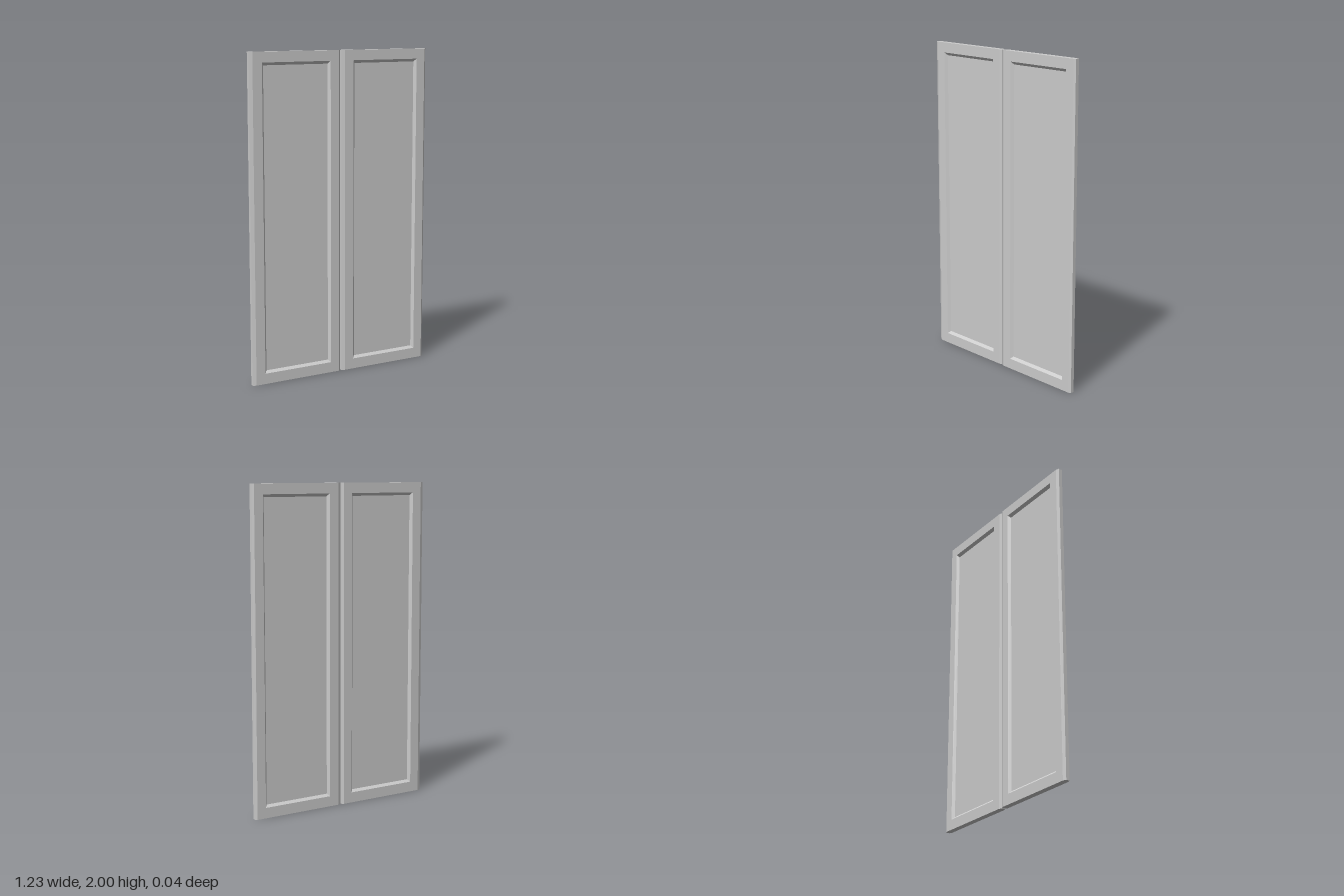
import * as THREE from 'three';

const W = 0.611, H = 2, T = 0.0195; // door width, height, half thickness
const DEPTH = 0.016;                // recess depth on each face

// Rectangular loop of four corners, counter-clockwise from the front
const ring = (x0, x1, y0, y1, z) => [[x0, y0, z], [x1, y0, z], [x1, y1, z], [x0, y1, z]];

// Door lofted through rectangles: recessed panel, sloped moulding, frame, chamfered stiles
function doorGeometry() {
  const half = [
    [0.096, 0.527, 0.08, 1.92, T - DEPTH], // recessed panel
    [0.081, 0.541, 0.065, 1.937, T],       // moulding edge
    [0.02, W - 0.012, 0, H, T],            // frame face
    [0, W, 0, H, T - 0.008],               // chamfered outer edge
  ];
  const back = half.map(([a, b, c, d, z]) => [a, b, c, d, -z]).reverse();
  const rings = [...half, ...back].map((r) => ring(...r));

  const pos = [];
  const quad = (a, b, c, d) => pos.push(...a, ...b, ...c, ...a, ...c, ...d);
  quad(...rings[0]);
  for (let i = 0; i < rings.length - 1; i++) {
    for (let j = 0; j < 4; j++) {
      const k = (j + 1) % 4;
      quad(rings[i][j], rings[i + 1][j], rings[i + 1][k], rings[i][k]);
    }
  }
  quad(...[...rings[rings.length - 1]].reverse());

  const geo = new THREE.BufferGeometry();
  geo.setAttribute('position', new THREE.Float32BufferAttribute(pos, 3));
  geo.computeVertexNormals();
  return geo;
}

export function createModel() {
  const group = new THREE.Group();
  group.name = 'doublePanelDoors';
  const material = new THREE.MeshStandardMaterial({ color: 0xcccccc, flatShading: true });
  const geo = doorGeometry();

  // Two identical doors, side by side with a slight offset in depth
  for (const [name, x, z] of [['rightDoor', -0.615, -0.0015], ['leftDoor', 0.004, 0.0015]]) {
    const door = new THREE.Mesh(geo, material);
    door.name = name;
    door.position.set(x, 0, z);
    group.add(door);
  }
  return group;
}
